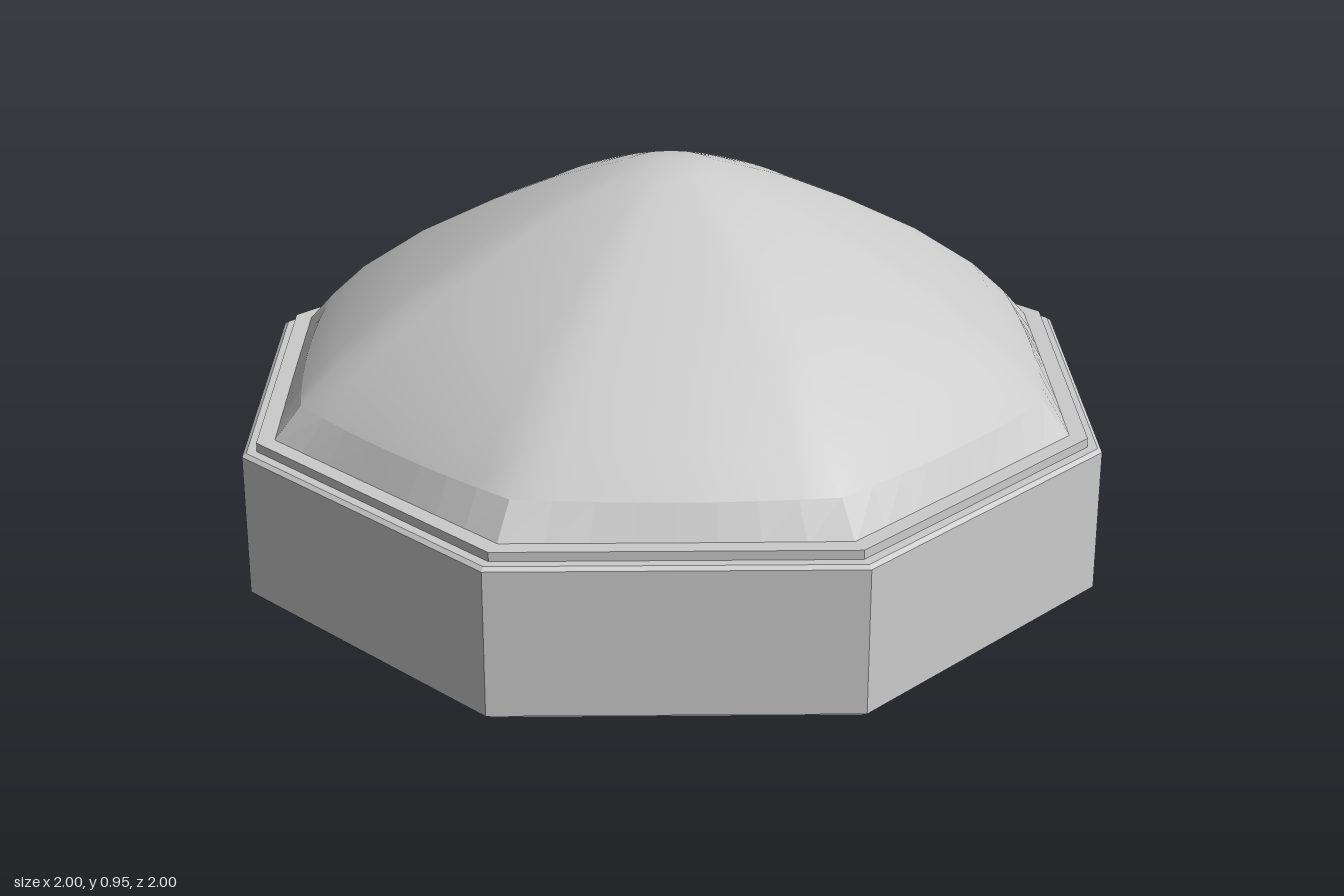
import * as THREE from 'three';

const SIDES = 8;
const material = new THREE.MeshStandardMaterial({ color: 0xcccccc });
const faceted = new THREE.MeshStandardMaterial({ color: 0xcccccc, flatShading: true });

// Octagonal prism with flat sides facing the axes; sizes are centre-to-side.
function prism(name, bottom, top, y0, y1) {
  const k = 1 / Math.cos(Math.PI / SIDES);
  const geo = new THREE.CylinderGeometry(top * k, bottom * k, y1 - y0, SIDES, 1, false, Math.PI / SIDES);
  geo.translate(0, (y0 + y1) / 2, 0);
  const mesh = new THREE.Mesh(geo, faceted);
  mesh.name = name;
  return mesh;
}

// Shell through rings [centre-to-side, height, roundness]: 0 is an octagon, 1 a circle.
function shell(name, rings, mat) {
  const n = 64, step = Math.PI * 2 / SIDES;
  const pos = [], index = [];
  for (const [a, y, round] of rings) {
    for (let i = 0; i < n; i++) {
      const t = (i / n) * Math.PI * 2;
      const phi = t - Math.round(t / step) * step;
      const r = a * (1 + (1 - round) * (1 / Math.cos(phi) - 1));
      pos.push(r * Math.sin(t), y, r * Math.cos(t));
    }
  }
  for (let j = 0; j < rings.length - 1; j++) {
    for (let i = 0; i < n; i++) {
      const a = j * n + i, b = j * n + (i + 1) % n;
      index.push(a, b, b + n, a, b + n, a + n);
    }
  }
  // close the crown with a fan
  const last = (rings.length - 1) * n;
  if (rings[rings.length - 1][3]) {
    pos.push(0, rings[rings.length - 1][3], 0);
    for (let i = 0; i < n; i++) index.push(last + i, last + (i + 1) % n, last + n);
  }
  const geo = new THREE.BufferGeometry();
  geo.setAttribute('position', new THREE.Float32BufferAttribute(pos, 3));
  geo.setIndex(index);
  geo.computeVertexNormals();
  const mesh = new THREE.Mesh(geo, mat);
  mesh.name = name;
  return mesh;
}

export function createModel() {
  const group = new THREE.Group();
  group.name = 'octagonalDome';

  // Base drum with a recessed foot and a narrow stepped ledge
  group.add(prism('foot', 0.98, 0.98, 0, 0.016));
  group.add(prism('drum', 1, 1, 0.014, 0.365));
  group.add(prism('drumBevel', 1, 0.99, 0.365, 0.373));
  group.add(prism('ledge', 0.967, 0.967, 0.373, 0.395));

  // Steep skirt, then a dome that softens from octagon towards a round crown
  group.add(shell('domeSkirt', [[0.93, 0.39, 0], [0.885, 0.47, 0.3]], faceted));
  group.add(shell('dome', [
    [0.885, 0.47, 0.3],
    [0.8, 0.56, 0.38],
    [0.64, 0.68, 0.45],
    [0.45, 0.79, 0.5],
    [0.3, 0.865, 0.55],
    [0.2, 0.903, 0.6],
    [0.11, 0.935, 0.7, 0.951],
  ], material));
  return group;
}
